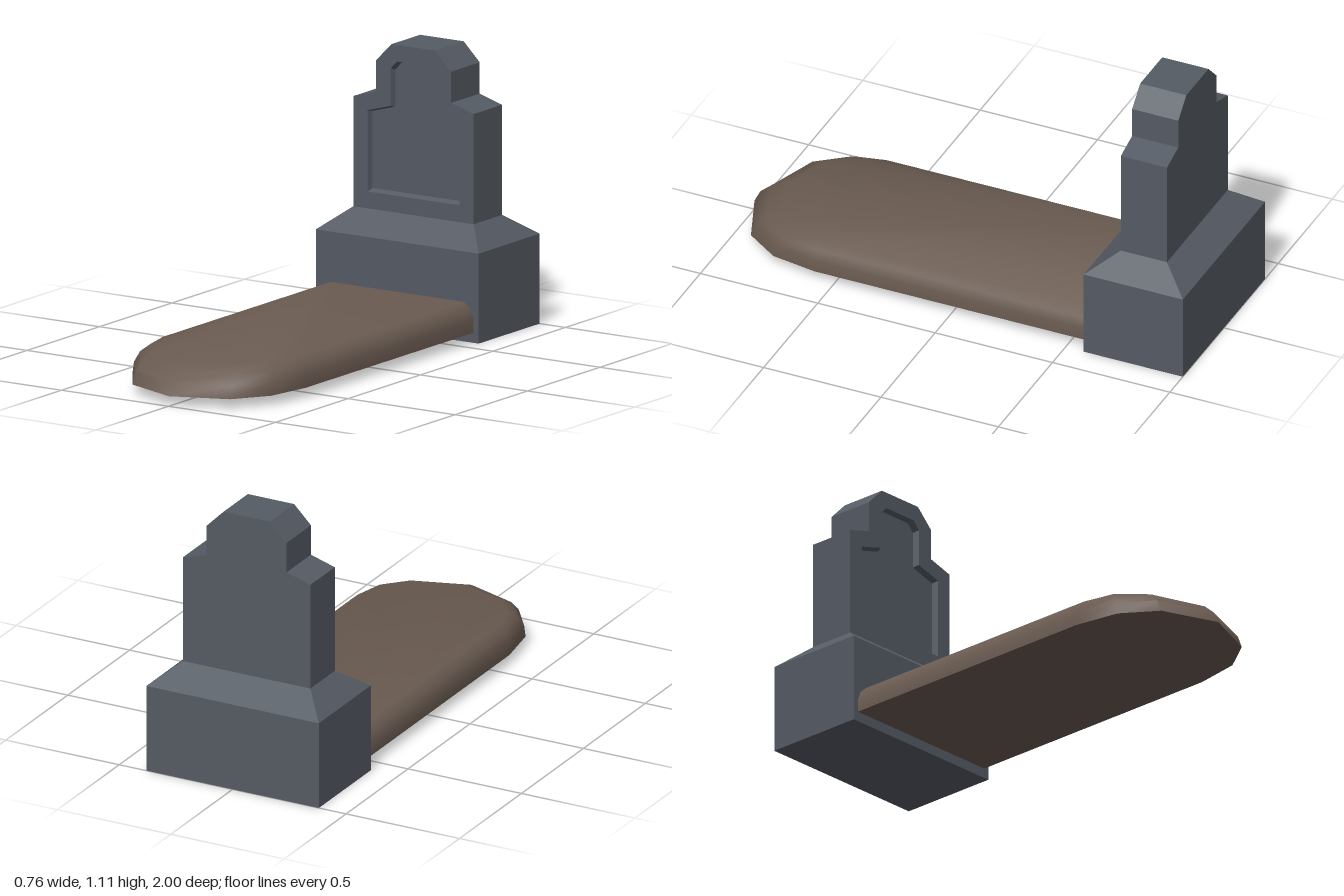
import * as THREE from 'three';
import { toCreasedNormals } from 'three/addons/utils/BufferGeometryUtils.js';

// Closed solid from stacked rings: each is { y, pts: [[x, z], ...] }, counter-clockwise from above
function loft(rings, crease) {
  const pos = [];
  const put = (r, j) => {
    const p = r.pts[j % r.pts.length];
    pos.push(p[0], r.y, p[1]);
  };
  const n = rings[0].pts.length;
  for (let i = 0; i < rings.length - 1; i++) {
    const lo = rings[i], hi = rings[i + 1];
    for (let j = 0; j < n; j++) {
      put(lo, j); put(lo, j + 1); put(hi, j + 1);
      put(lo, j); put(hi, j + 1); put(hi, j);
    }
  }
  const bottom = rings[0], top = rings[rings.length - 1];
  for (let j = 1; j < n - 1; j++) {
    put(top, 0); put(top, j); put(top, j + 1);
    put(bottom, 0); put(bottom, j + 1); put(bottom, j);
  }
  const g = new THREE.BufferGeometry();
  g.setAttribute('position', new THREE.Float32BufferAttribute(pos, 3));
  g.computeVertexNormals();
  return toCreasedNormals(g, crease);
}

// Mirror the right-hand half of an outline
const mirrored = (half) => [
  ...half,
  ...half.slice().reverse().filter((p) => p[0] > 0).map(([x, y]) => [-x, y]),
].map(([x, y]) => new THREE.Vector2(x, y));

export function createModel() {
  const group = new THREE.Group();
  const stone = new THREE.MeshStandardMaterial({ color: 0x555b64 });
  const soil = new THREE.MeshStandardMaterial({ color: 0x6a5b51 });
  stone.name = 'slate stone';
  soil.name = 'brown soil';

  const add = (name, geometry, material) => {
    const mesh = new THREE.Mesh(geometry, material);
    mesh.name = name;
    group.add(mesh);
    return mesh;
  };

  // Plinth with sloped shoulders
  const rect = (y, w, back, front) => ({ y, pts: [[-w, front], [w, front], [w, back], [-w, back]] });
  add('plinth', loft([
    rect(0, 0.38, -1, -0.578),
    rect(0.357, 0.38, -1, -0.578),
    rect(0.44, 0.281, -0.887, -0.69),
  ], 0.2), stone);

  // Headstone: solid back slab, and a front frame around the sunken panel
  const outline = mirrored([[0.281, 0.44], [0.281, 0.877], [0.176, 0.908], [0.176, 1.032], [0.102, 1.106]]);
  const panel = mirrored([[0.215, 0.507], [0.215, 0.829], [0.107, 0.86], [0.107, 1.008], [0.077, 1.04]]);
  const depth = 0.025, back = -0.887, front = -0.69;
  const slab = new THREE.ExtrudeGeometry(new THREE.Shape(outline), {
    depth: front - depth - back, bevelEnabled: false,
  });
  add('headstoneSlab', slab, stone).position.z = back;

  const frameShape = new THREE.Shape(outline);
  frameShape.holes.push(new THREE.Path(panel));
  const frame = new THREE.ExtrudeGeometry(frameShape, { depth, bevelEnabled: false });
  // Taper the panel walls inward toward the sunken face
  const p = frame.attributes.position;
  for (let i = 0; i < p.count; i++) {
    const x = p.getX(i), y = p.getY(i);
    const onPanel = panel.some((q) => Math.hypot(q.x - x, q.y - y) < 1e-4);
    if (onPanel && p.getZ(i) < depth / 2) {
      p.setXY(i, x - Math.sign(x) * 0.007, y < 0.6 ? y + 0.01 : y - 0.006);
    }
  }
  frame.computeVertexNormals();
  add('headstoneFrame', frame, stone).position.z = front - depth;

  // Grave mound: rounded plan, with sides curving in to a flat top
  const plan = [[-0.357, -0.62], [-0.357, 0.58], [-0.325, 0.77], [-0.228, 0.91], [0, 1],
    [0.228, 0.91], [0.325, 0.77], [0.357, 0.58], [0.357, -0.62]];
  const levels = [[0.04, 1, 1], [0.09, 1, 0.94], [0.13, 0.955, 0.83], [0.157, 0.87, 0.66]];
  const rings = levels.map(([y, sx, k]) => ({
    y, pts: plan.map(([x, z]) => [x * sx, z > 0.58 ? 0.58 + (z - 0.58) * k : z]),
  }));
  add('graveMound', loft(rings, 0.75), soil);

  return group;
}
